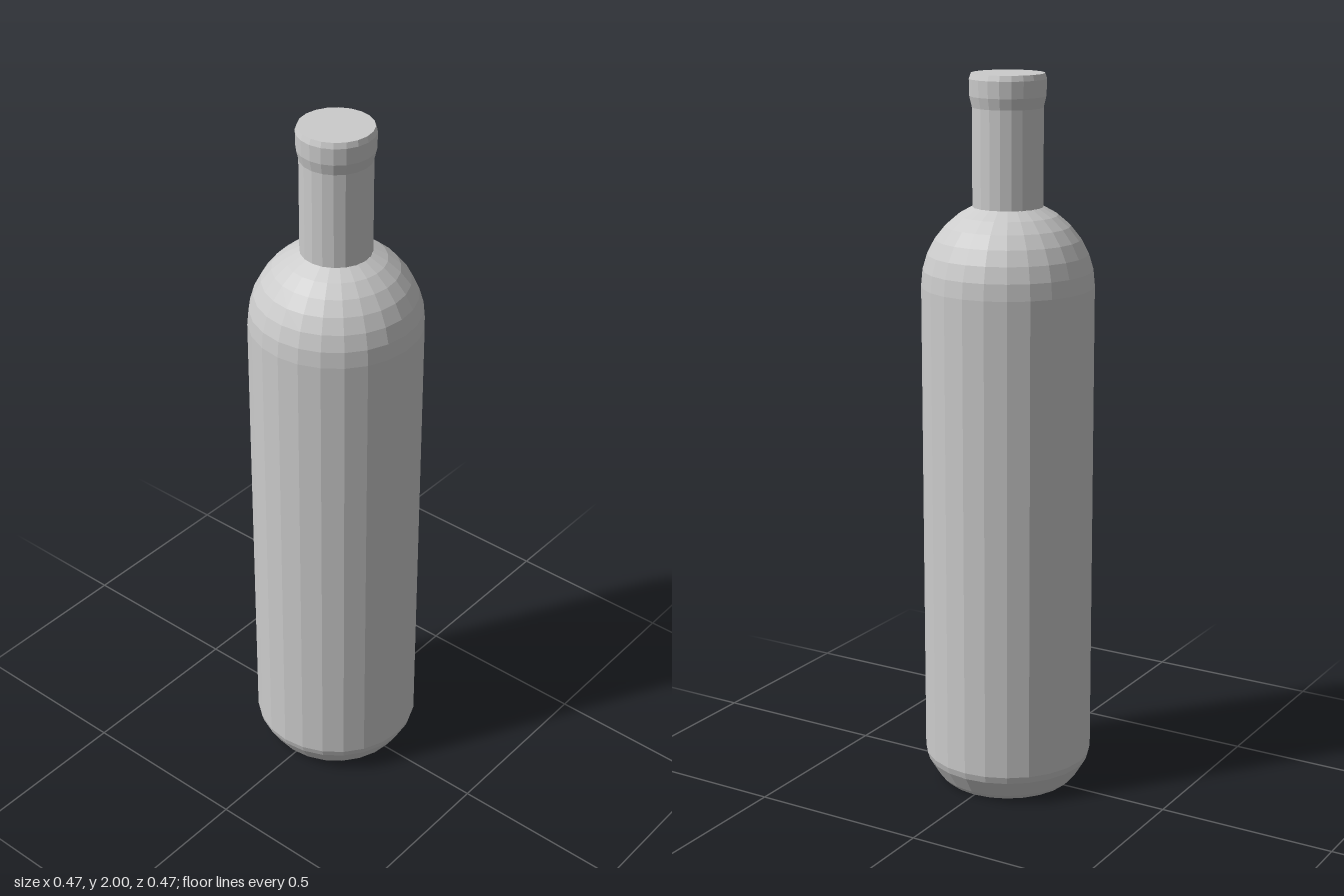
import * as THREE from 'three';

const material = new THREE.MeshStandardMaterial({ color: 0xcccccc, flatShading: true });

// Faceted solid of revolution from [radius, height] pairs, bottom to top
function turned(name, profile, sides) {
  const points = profile.map(([r, y]) => new THREE.Vector2(r, y));
  const mesh = new THREE.Mesh(new THREE.LatheGeometry(points, sides), material);
  mesh.name = name;
  return mesh;
}

export function createModel() {
  const bottle = new THREE.Group();
  bottle.name = 'bottle';

  const radius = 0.236, shoulderY = 1.43, neckRadius = 0.096;

  // Body: flat base, bevelled foot, straight wall and round shoulder
  const body = [[0, 0], [0.185, 0], [0.2, 0.015], [0.23, 0.065], [radius, 0.085]];
  const steps = 6, endAngle = Math.acos(neckRadius / radius);
  for (let i = 0; i <= steps; i++) {
    const a = (endAngle * i) / steps;
    body.push([radius * Math.cos(a), shoulderY + radius * Math.sin(a)]);
  }
  body.push([0, 1.65]);
  bottle.add(turned('body', body, 24));

  // Neck rising out of the shoulder
  bottle.add(turned('neck', [[neckRadius, 1.63], [neckRadius, 1.91]], 20));

  // Slightly flared lip with a closed flat top
  bottle.add(turned('lip', [
    [neckRadius, 1.91], [0.103, 1.94], [0.104, 1.985], [0.099, 2], [0, 2],
  ], 20));

  return bottle;
}
